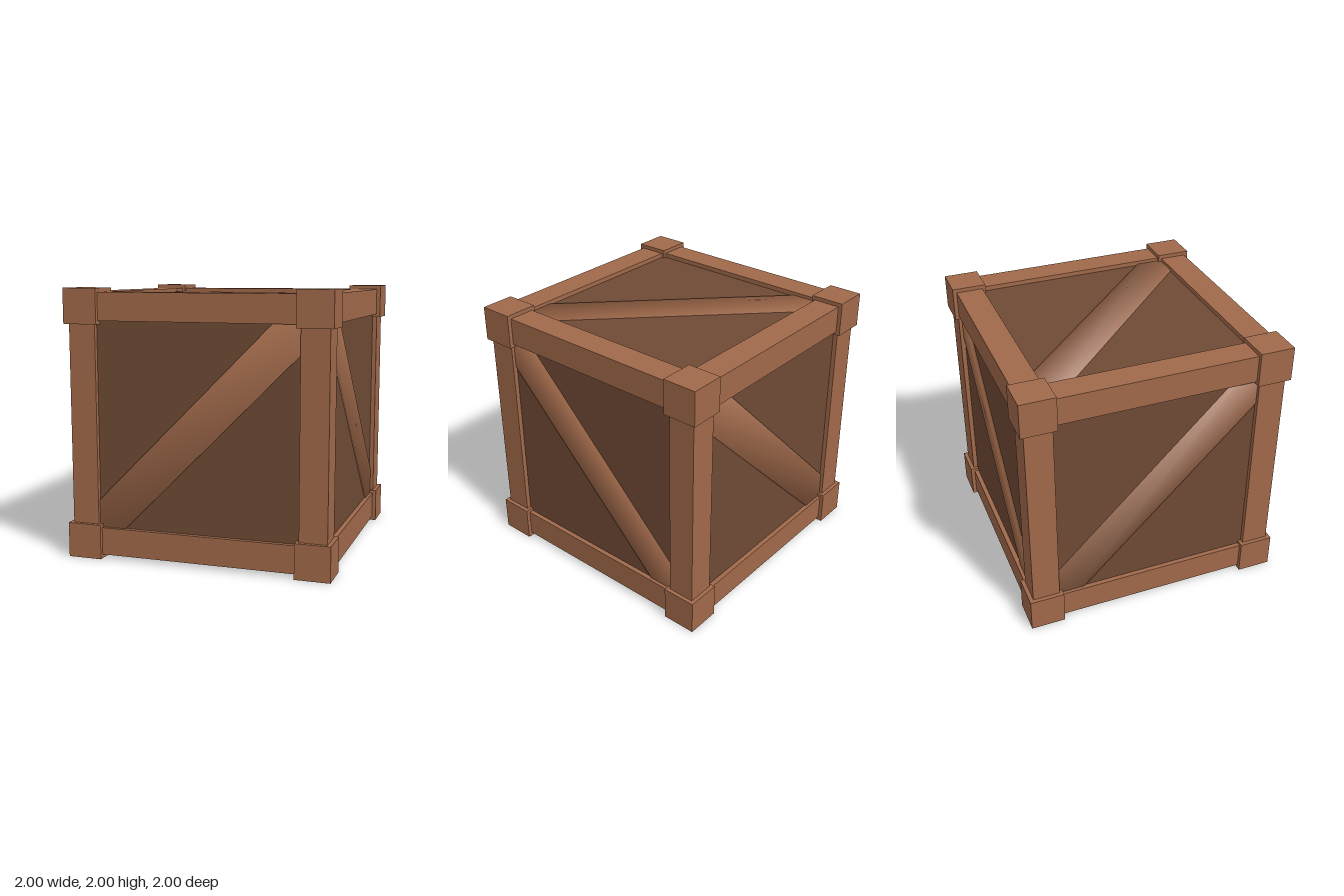
import * as THREE from 'three';

const frameMat = new THREE.MeshStandardMaterial({ color: 0xa0694a });
const panelMat = new THREE.MeshStandardMaterial({ color: 0x6f4a35 });

const CORNER = 0.26;                 // corner block size
const BEAM = 0.205;                  // beam thickness
const BEAM_POS = 0.97 - BEAM / 2;    // beam centre line
const PANEL = 0.935;                 // half size of the panelled core
const BRACE_FACE = 0.945;            // outer face of the diagonal braces
const BRACE_LENGTH = 2.46, BRACE_WIDTH = 0.29, BRACE_DEPTH = 0.06;

function add(group, name, geometry, material, x = 0, y = 0, z = 0) {
  const mesh = new THREE.Mesh(geometry, material);
  mesh.name = name;
  mesh.position.set(x, y, z);
  group.add(mesh);
}

// Box whose corners share one normal, giving softly rounded shading
function softBox(w, h, d) {
  const geo = new THREE.BoxGeometry(w, h, d);
  const p = geo.attributes.position, n = geo.attributes.normal, k = 1 / Math.sqrt(3);
  for (let i = 0; i < p.count; i++) {
    n.setXYZ(i, Math.sign(p.getX(i)) * k, Math.sign(p.getY(i)) * k, Math.sign(p.getZ(i)) * k);
  }
  return geo;
}

export function createModel() {
  const crate = new THREE.Group();
  crate.name = 'crate';
  const body = new THREE.Group();
  body.name = 'crateBody';
  body.position.y = 1;
  crate.add(body);

  // Recessed panels
  add(body, 'panels', new THREE.BoxGeometry(PANEL * 2, PANEL * 2, PANEL * 2), panelMat);

  // Corner blocks
  const c = 1 - CORNER / 2;
  const cornerGeo = new THREE.BoxGeometry(CORNER, CORNER, CORNER);
  for (const x of [-c, c]) for (const y of [-c, c]) for (const z of [-c, c]) {
    add(body, 'cornerBlock', cornerGeo, frameMat, x, y, z);
  }

  // Edge beams: four along each axis
  const len = 2 * (1 - CORNER) + 0.04;
  const beamX = new THREE.BoxGeometry(len, BEAM, BEAM);
  const beamY = new THREE.BoxGeometry(BEAM, len, BEAM);
  const beamZ = new THREE.BoxGeometry(BEAM, BEAM, len);
  for (const a of [-BEAM_POS, BEAM_POS]) for (const b of [-BEAM_POS, BEAM_POS]) {
    add(body, 'crossBeam', beamX, frameMat, 0, a, b);
    add(body, 'cornerPost', beamY, frameMat, a, 0, b);
    add(body, 'sideBeam', beamZ, frameMat, a, b, 0);
  }

  // Diagonal braces: one on every face, parallel on opposite faces
  const q = Math.PI / 4;
  const braceZ = softBox(BRACE_LENGTH, BRACE_WIDTH, BRACE_DEPTH).rotateZ(q);
  const braceY = softBox(BRACE_LENGTH, BRACE_DEPTH, BRACE_WIDTH).rotateY(-q);
  const braceX = softBox(BRACE_DEPTH, BRACE_WIDTH, BRACE_LENGTH).rotateX(-q);
  const d = BRACE_FACE - BRACE_DEPTH / 2;
  for (const s of [-1, 1]) {
    add(body, s > 0 ? 'frontBrace' : 'backBrace', braceZ, frameMat, 0, 0, s * d);
    add(body, s > 0 ? 'topBrace' : 'bottomBrace', braceY, frameMat, 0, s * d, 0);
    add(body, 'sideBrace', braceX, frameMat, s * d, 0, 0);
  }
  return crate;
}
